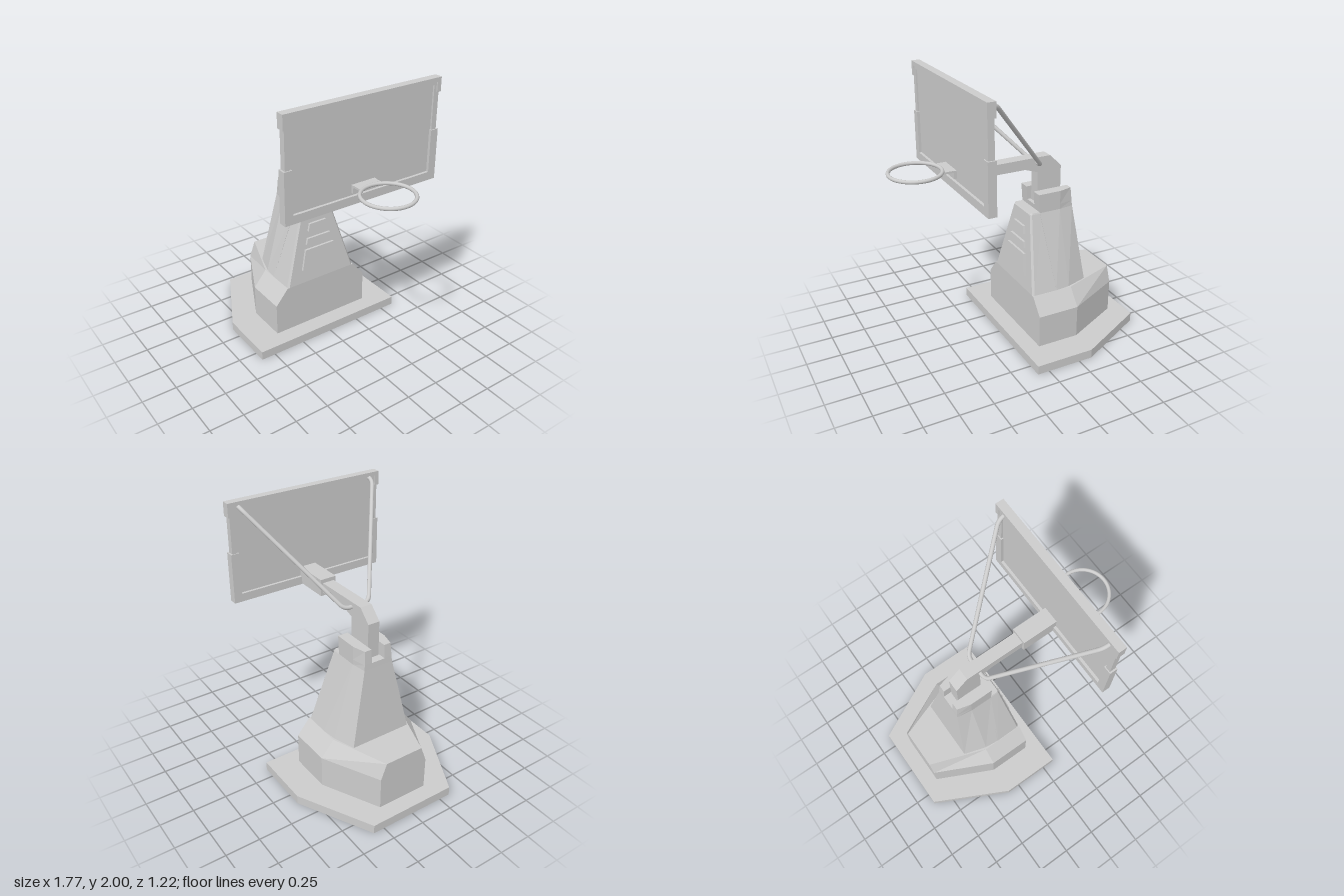
import * as THREE from 'three';

const grey = new THREE.MeshStandardMaterial({ color: 0xcccccc, flatShading: true });
const thin = new THREE.MeshStandardMaterial({ color: 0xcccccc, flatShading: true, side: THREE.DoubleSide });
const smooth = new THREE.MeshStandardMaterial({ color: 0xcccccc });

function add(parent, name, geometry, material = grey) {
  const mesh = new THREE.Mesh(geometry, material);
  mesh.name = name;
  parent.add(mesh);
  return mesh;
}

// Box given by its minimum and maximum corners
function box(parent, name, [x0, y0, z0], [x1, y1, z1]) {
  const mesh = add(parent, name, new THREE.BoxGeometry(x1 - x0, y1 - y0, z1 - z0));
  mesh.position.set((x0 + x1) / 2, (y0 + y1) / 2, (z0 + z1) / 2);
  return mesh;
}

// Half outline [x, z] with z > 0, back to front, mirrored to a full ring
const mirrorRing = (half) => [...half, ...half.map(([x, z]) => [x, -z]).reverse()];

// Flat-faced solid through convex rings; each section is { y, ring }
function loft(sections, capBottom = true) {
  const v = [];
  const n = sections[0].ring.length;
  const pt = (s, i) => [s.ring[i % n][0], s.y, s.ring[i % n][1]];
  for (let k = 0; k < sections.length - 1; k++) {
    const lo = sections[k], hi = sections[k + 1];
    for (let i = 0; i < n; i++) {
      v.push(...pt(lo, i), ...pt(lo, i + 1), ...pt(hi, i + 1));
      v.push(...pt(lo, i), ...pt(hi, i + 1), ...pt(hi, i));
    }
  }
  const bottom = sections[0], top = sections[sections.length - 1];
  for (let i = 1; i < n - 1; i++) {
    v.push(...pt(top, 0), ...pt(top, i), ...pt(top, i + 1));
    if (capBottom) v.push(...pt(bottom, 0), ...pt(bottom, i + 1), ...pt(bottom, i));
  }
  const g = new THREE.BufferGeometry();
  g.setAttribute('position', new THREE.Float32BufferAttribute(v, 3));
  g.computeVertexNormals();
  return g;
}
const section = (y, half) => ({ y, ring: mirrorRing(half) });

function createBase() {
  const base = new THREE.Group();
  base.name = 'base';
  // Hollow floor tray, open underneath
  const tray = [[-0.89, 0.335], [-0.35, 0.61], [0.09, 0.61]];
  add(base, 'floorTray', loft([section(0, tray), section(0.067, tray)], false), thin);
  // Ballast block with sloping shoulders
  const block = [[-0.77, 0.195], [-0.35, 0.4], [-0.035, 0.4]];
  const blockTop = [[-0.77, 0.15], [-0.35, 0.3], [-0.035, 0.3]];
  add(base, 'ballastBlock', loft([section(0.067, block), section(0.31, block), section(0.43, blockTop)], false));
  return base;
}

function createTower() {
  const tower = new THREE.Group();
  tower.name = 'tower';
  // Tapered column up to the floor of the slot
  add(tower, 'column', loft([
    section(0.43, [[-0.505, 0.235], [-0.34, 0.287], [-0.23, 0.298]]),
    section(0.99, [[-0.452, 0.115], [-0.34, 0.132], [-0.175, 0.132]]),
    section(1.03, [[-0.449, 0.112], [-0.34, 0.132], [-0.172, 0.132]]),
  ]));
  // Cheeks on each side of the post
  for (const side of [1, -1]) {
    const cheek = (y, xb, zb, xf) => {
      const ring = [[xb, 0.053], [xb, zb], [-0.34, 0.132], [xf, 0.132], [xf, 0.053]];
      return { y, ring: side > 0 ? ring : ring.map(([x, z]) => [x, -z]).reverse() };
    };
    add(tower, side > 0 ? 'leftCheek' : 'rightCheek',
      loft([cheek(1.03, -0.449, 0.112, -0.172), cheek(1.13, -0.44, 0.106, -0.165)]));
  }
  // Front cover with a narrow bevel
  add(tower, 'frontCover', loft([
    section(0.43, [[-0.24, 0.298], [-0.05, 0.296], [-0.035, 0.282]]),
    section(0.985, [[-0.19, 0.13], [-0.112, 0.13], [-0.1, 0.117]]),
    section(0.995, [[-0.19, 0.125], [-0.118, 0.125], [-0.108, 0.113]]),
  ]));
  // Raised panels on the sloping cover: y0, y1, half width at y0 and at y1
  const face = (y) => -0.1 + (0.985 - y) * 0.117;
  for (const [y0, y1, w0, w1] of [[0.535, 0.69, 0.165, 0.125], [0.73, 0.775, 0.113, 0.1], [0.83, 0.885, 0.088, 0.072]]) {
    const cut = (y, w) => section(y, [[face(y) - 0.01, w], [face(y) + 0.017, w]]);
    add(tower, 'raisedPanel', loft([cut(y0, w0), cut(y1, w1)]));
  }
  return tower;
}

function createArm() {
  const arm = new THREE.Group();
  arm.name = 'arm';
  // Bent post and arm
  const shape = new THREE.Shape([
    [-0.39, 1.02], [-0.2, 1.02], [-0.2, 1.268], [-0.1, 1.302], [0.16, 1.302],
    [0.16, 1.377], [-0.3, 1.38], [-0.39, 1.29],
  ].map((p) => new THREE.Vector2(...p)));
  const post = new THREE.ExtrudeGeometry(shape, { depth: 0.09, bevelEnabled: false });
  add(arm, 'bentPost', post.translate(0, 0, -0.045));
  box(arm, 'armSleeve', [0.15, 1.28, -0.063], [0.425, 1.405, 0.063]);
  // One bent tube: round the post, out and up to both top corners of the board
  const corners = [
    [0.42, 1.965, -0.53], [0.365, 1.955, -0.53], [-0.195, 1.34, -0.1],
    [-0.195, 1.34, 0.1], [0.365, 1.955, 0.53], [0.42, 1.965, 0.53],
  ].map((p) => new THREE.Vector3(...p));
  const path = new THREE.CurvePath();
  let from = corners[0];
  for (let i = 1; i < corners.length - 1; i++) {
    const c = corners[i];
    const toward = (p) => c.clone().add(p.clone().sub(c).setLength(0.045));
    const start = toward(corners[i - 1]), end = toward(corners[i + 1]);
    path.add(new THREE.LineCurve3(from, start));
    path.add(new THREE.QuadraticBezierCurve3(start, c, end));
    from = end;
  }
  path.add(new THREE.LineCurve3(from, corners[corners.length - 1]));
  add(arm, 'braceTube', new THREE.TubeGeometry(path, 160, 0.015, 12), smooth);
  return arm;
}

function createBoard() {
  const board = new THREE.Group();
  board.name = 'backboard';
  box(board, 'boardPanel', [0.42, 1.3, -0.57], [0.44, 1.97, 0.57]);
  box(board, 'topRail', [0.4, 1.97, -0.612], [0.46, 2, 0.612]);
  box(board, 'innerTopRail', [0.407, 1.95, -0.58], [0.452, 1.97, 0.58]);
  box(board, 'bottomRail', [0.4, 1.275, -0.612], [0.46, 1.335, 0.612]);
  // Side rails with thicker sleeves at the corners
  for (const s of [1, -1]) {
    const rail = (name, x0, x1, y0, y1, zIn, zOut) =>
      box(board, name, [x0, y0, s > 0 ? zIn : -zOut], [x1, y1, s > 0 ? zOut : -zIn]);
    rail('sideRail', 0.407, 0.452, 1.335, 1.97, 0.56, 0.6);
    rail('lowerCornerSleeve', 0.4, 0.46, 1.335, 1.64, 0.552, 0.612);
    rail('upperCornerSleeve', 0.4, 0.46, 1.9, 1.97, 0.58, 0.612);
  }
  return board;
}

function createHoop() {
  const hoop = new THREE.Group();
  hoop.name = 'hoop';
  const ring = add(hoop, 'rim', new THREE.TorusGeometry(0.178, 0.013, 12, 48), smooth);
  ring.rotation.x = Math.PI / 2;
  ring.position.set(0.694, 1.41, 0);
  box(hoop, 'mountPlate', [0.435, 1.353, -0.095], [0.46, 1.41, 0.095]);
  // Flat bracket, cut to follow the rim
  const a = Math.asin(0.092 / 0.178);
  const shape = new THREE.Shape();
  shape.moveTo(0.45, -0.092);
  shape.lineTo(0.694 - 0.178 * Math.cos(a), -0.092);
  shape.absarc(0.694, 0, 0.178, Math.PI + a, Math.PI - a, true);
  shape.lineTo(0.45, 0.092);
  const plate = new THREE.ExtrudeGeometry(shape, { depth: 0.014, bevelEnabled: false, curveSegments: 16 });
  plate.rotateX(-Math.PI / 2);
  add(hoop, 'rimBracket', plate.translate(0, 1.396, 0));
  return hoop;
}

export function createModel() {
  const model = new THREE.Group();
  model.name = 'basketballHoop';
  model.add(createBase(), createTower(), createArm(), createBoard(), createHoop());
  return model;
}
